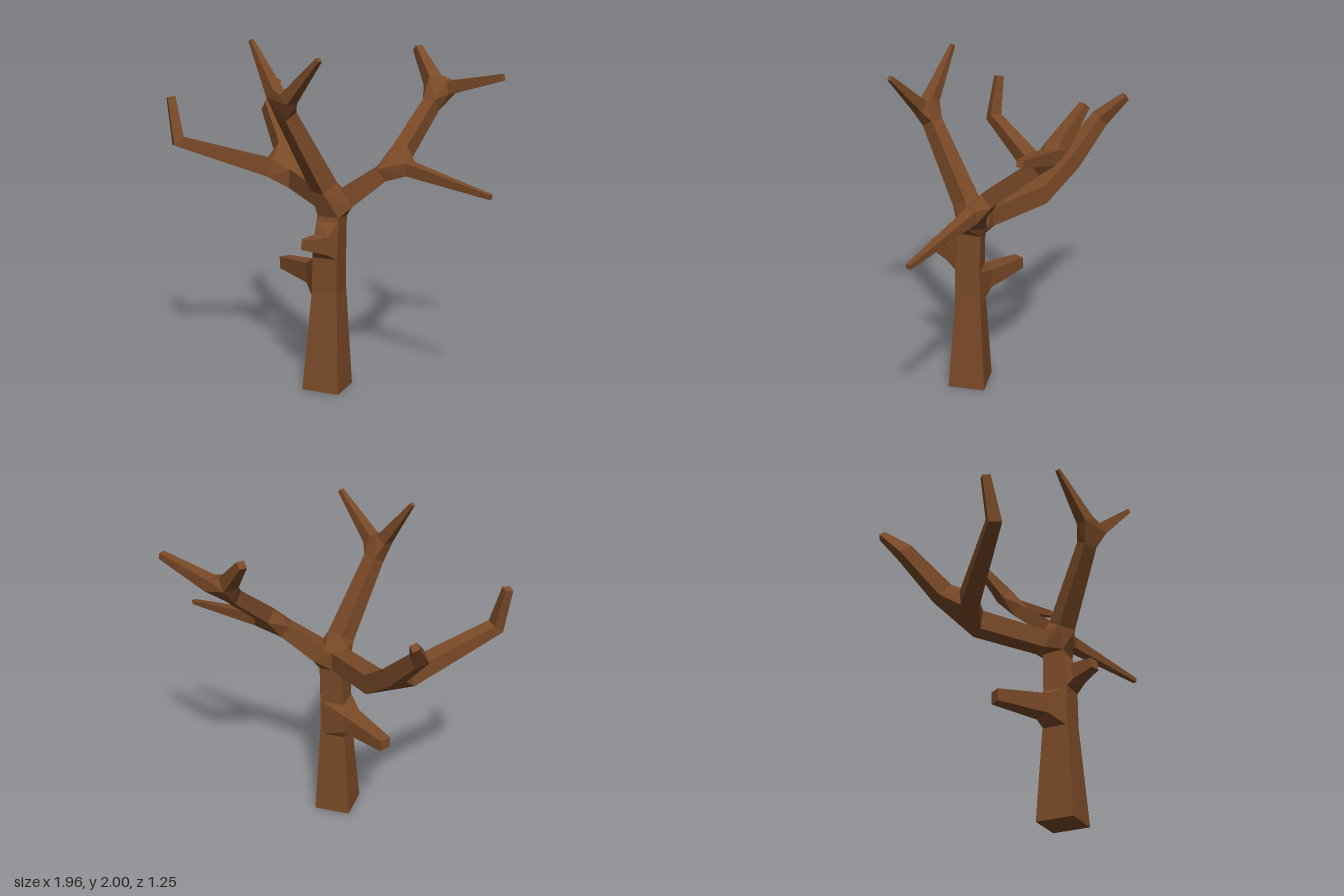
import * as THREE from 'three';
import { ConvexGeometry } from 'three/addons/geometries/ConvexGeometry.js';

const V = (a) => new THREE.Vector3(a[0], a[1], a[2]);

// Square cross-sections along a path of [x, y, z, halfWidth] points.
function crossSections(path) {
  const pts = path.map(V);
  const side = new THREE.Vector3();
  return pts.map((p, i) => {
    const t = new THREE.Vector3();
    if (i > 0) t.add(p.clone().sub(pts[i - 1]).normalize());
    if (i < pts.length - 1) t.add(pts[i + 1].clone().sub(p).normalize());
    t.normalize();
    if (i === 0) {
      const ref = Math.abs(t.y) > 0.95 ? new THREE.Vector3(0, 0, 1) : new THREE.Vector3(0, 1, 0);
      side.crossVectors(t, ref);
    } else {
      side.addScaledVector(t, -side.dot(t));
    }
    side.normalize();
    const up = side.clone().cross(t);
    return [[1, 1], [-1, 1], [-1, -1], [1, -1]].map(([a, b]) =>
      p.clone().addScaledVector(side, a * path[i][3]).addScaledVector(up, b * path[i][3]));
  });
}

// Closed four-sided limb skinned over its cross-sections.
function limbGeometry(rings) {
  const index = [];
  for (let r = 0; r < rings.length - 1; r++) {
    for (let k = 0; k < 4; k++) {
      const a = r * 4 + k, b = r * 4 + (k + 1) % 4;
      index.push(a, b + 4, b, a, a + 4, b + 4);
    }
  }
  const e = (rings.length - 1) * 4;
  index.push(0, 1, 2, 0, 2, 3, e, e + 2, e + 1, e, e + 3, e + 2);
  const geo = new THREE.BufferGeometry().setFromPoints(rings.flat());
  geo.setIndex(index);
  geo.computeVertexNormals();
  return geo;
}

export function createModel() {
  const group = new THREE.Group();
  const bark = new THREE.MeshStandardMaterial({ color: 0x7a4a28, flatShading: true });

  const add = (name, geometry) => {
    const mesh = new THREE.Mesh(geometry, bark);
    mesh.name = name;
    group.add(mesh);
  };
  const limb = (name, path) => {
    const rings = crossSections(path);
    add(name, limbGeometry(rings));
    return { start: rings[0], end: rings[rings.length - 1] };
  };
  // Faceted knot joining the ends of several limbs
  const knot = (name, ...rings) => add(name, new ConvexGeometry(rings.flat()));

  // Trunk
  const trunk = limb('trunk', [
    [0.012, 0, 0.21, 0.11], [0.02, 0.58, 0.2, 0.075],
    [0.022, 0.78, 0.2, 0.073], [0.032, 1.01, 0.182, 0.064],
  ]);

  // Front bough and its two twigs
  const front = limb('frontBough', [[0.0, 1.18, 0.225, 0.056], [-0.125, 1.6, 0.445, 0.042]]);
  const frontA = limb('frontTwigRight', [[-0.185, 1.725, 0.462, 0.036], [-0.362, 1.99, 0.375, 0.011]]);
  const frontB = limb('frontTwigLeft', [[-0.085, 1.7, 0.505, 0.036], [0.133, 1.925, 0.608, 0.013]]);
  knot('frontFork', front.end, frontA.start, frontB.start);

  // Left bough, forking into a low twig and a rising branch with two twigs
  const left = limb('leftBough', [[0.105, 1.11, 0.14, 0.055], [0.29, 1.25, 0.085, 0.043]]);
  const leftLow = limb('leftLowTwig', [[0.46, 1.288, 0.09, 0.036], [0.97, 1.213, 0.295, 0.013]]);
  const rise = limb('leftRisingBranch', [[0.385, 1.37, 0.0, 0.046], [0.46, 1.6, -0.27, 0.04]]);
  const riseA = limb('leftUpperTwigBack', [[0.435, 1.725, -0.375, 0.042], [0.305, 1.9, -0.485, 0.022]]);
  const riseB = limb('leftUpperTwigSide', [[0.555, 1.695, -0.345, 0.038], [0.88, 1.775, -0.255, 0.019]]);
  knot('leftFork', left.end, leftLow.start, rise.start);
  knot('leftUpperFork', rise.end, riseA.start, riseB.start);

  // Right bough, forking into two bent branches
  const right = limb('rightBough', [[-0.035, 1.09, 0.105, 0.055], [-0.32, 1.135, -0.15, 0.058]]);
  const rightFront = limb('rightFrontBranch', [
    [-0.5, 1.197, -0.11, 0.053], [-0.9, 1.385, 0.25, 0.037], [-0.953, 1.635, 0.225, 0.023],
  ]);
  const rightBack = limb('rightBackBranch', [
    [-0.475, 1.29, -0.3, 0.052], [-0.645, 1.505, -0.455, 0.04], [-0.657, 1.65, -0.605, 0.02],
  ]);
  knot('rightFork', right.end, rightFront.start, rightBack.start);

  // Crown where the boughs leave the trunk
  knot('crown', trunk.end, front.start, left.start, right.start);

  // Broken stub on the front of the trunk
  const stubF = limb('frontStub', [[0.012, 0.868, 0.31, 0.05], [-0.025, 0.89, 0.43, 0.03]]);
  knot('frontStubRoot', stubF.start, [
    [-0.05, 0.78, 0.272], [0.095, 0.78, 0.272], [-0.035, 0.99, 0.246], [0.095, 0.99, 0.246],
  ].map(V));

  // Broken stub on the right rear corner of the trunk
  const stubR = limb('rightStub', [[-0.095, 0.66, 0.14, 0.058], [-0.355, 0.65, -0.02, 0.035]]);
  knot('rightStubRoot', stubR.start, [0.54, 0.77].flatMap((y) => [
    [-0.053, y, 0.27], [-0.053, y, 0.127], [0.09, y, 0.127],
  ]).map(V));

  return group;
}
